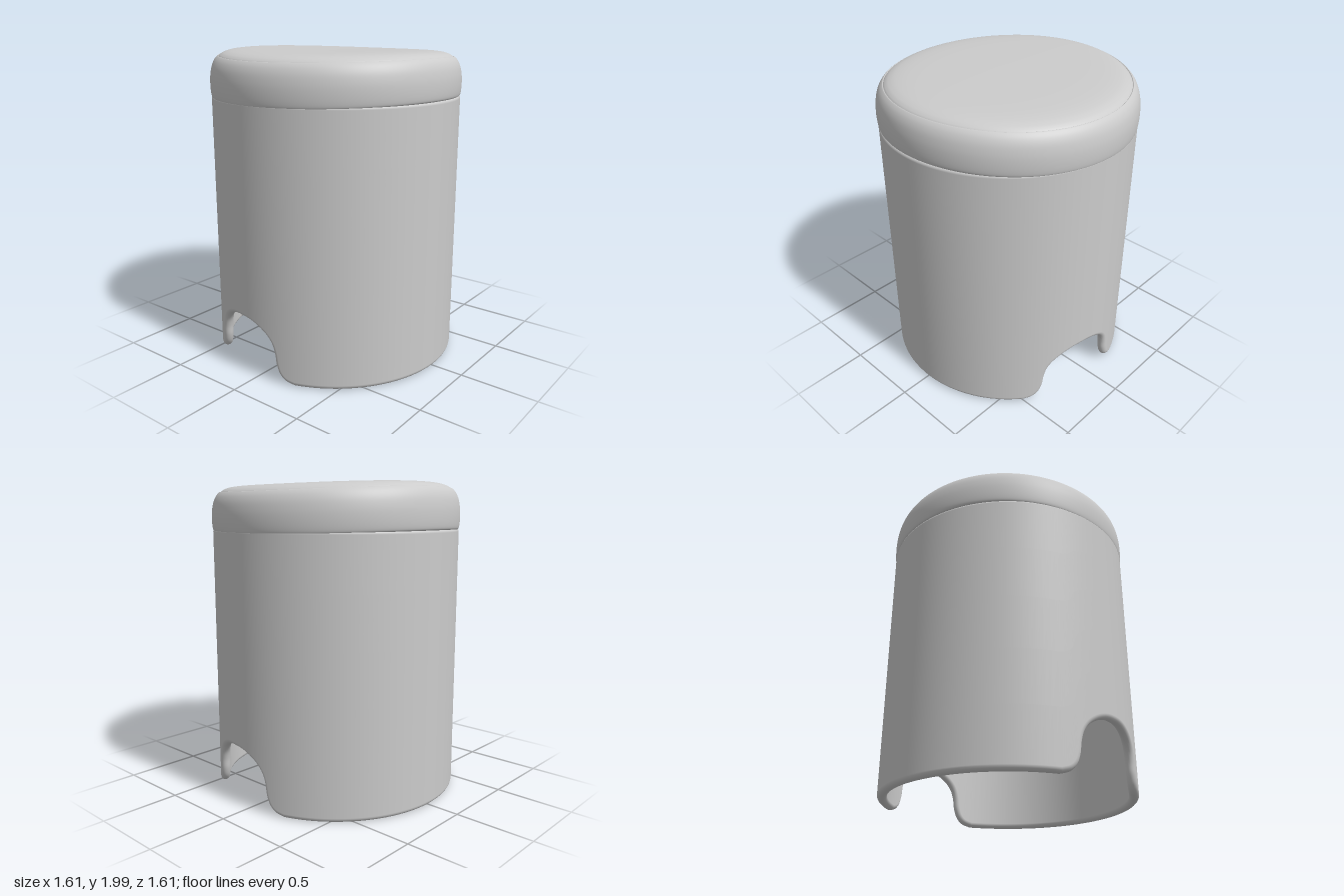
import * as THREE from 'three';
import { mergeVertices } from 'three/addons/utils/BufferGeometryUtils.js';

const material = new THREE.MeshStandardMaterial({ color: 0xcccccc, side: THREE.DoubleSide });
const OUTER = 0.8, WALL = 0.06, TOP = 1.7;
const ROUND = WALL / 2, MID = OUTER - ROUND;
const rad = THREE.MathUtils.degToRad;

// Lower edge of the shell as (angle, height): two arched openings, half a turn apart
function lowerEdge() {
  const half = [[0, 0.365], [5, 0.36], [10, 0.338], [14.5, 0.3], [17.5, 0.25], [19, 0.19],
    [19.8, 0.12], [21.5, 0.06], [24.5, 0.02], [29, 0]];
  const arch = [...half.slice(1).reverse().map(([a, y]) => [-a, y]), ...half];
  const curve = new THREE.SplineCurve(arch.map(([a, y]) => new THREE.Vector2(a / 60, y)));
  const edge = [];
  for (const turn of [0, 180]) {
    const centre = turn - 9.7;
    for (const p of curve.getPoints(108)) edge.push([rad(centre + p.x * 60), Math.max(0, p.y)]);
    for (let i = 1; i < 40; i++) edge.push([rad(centre + 29 + (122 * i) / 40), 0]);
  }
  return edge;
}

// Hollow wall: each column runs down the outside, round the rim and up the inside
function shellGeometry() {
  const edge = lowerEdge(), n = edge.length;
  const positions = [], normals = [], indices = [];
  let rows = 0;
  const put = (theta, r, y, nr, nu, ny) => {
    const s = Math.sin(theta), c = Math.cos(theta);
    positions.push(r * s, y, r * c);
    normals.push(nr * s + nu * c, ny, nr * c - nu * s);
    rows++;
  };
  for (let i = 0; i <= n; i++) {
    const [theta, y] = edge[i % n];
    const [t0, y0] = edge[(i + n - 1) % n], [t1, y1] = edge[(i + 1) % n];
    const du = OUTER * ((t1 - t0 + 4 * Math.PI) % (2 * Math.PI)), dy = y1 - y0;
    const len = Math.hypot(du, dy), nu = -dy / len, ny = du / len;
    const at = theta + (nu * ROUND) / OUTER, start = y + ny * ROUND;
    rows = 0;
    put(at, OUTER - 0.015, TOP + 0.005, 0.5, 0, 0.87);
    put(at, OUTER - 0.004, TOP, 0.8, 0, 0.6);
    for (let k = 0; k < 5; k++) put(at, OUTER, THREE.MathUtils.lerp(TOP - 0.012, start, k / 5), 1, 0, 0);
    for (let k = 0; k <= 10; k++) {
      const a = (Math.PI * k) / 10, s = Math.sin(a), c = Math.cos(a);
      const off = ROUND * (1 - s);
      put(theta + (nu * off) / OUTER, MID + ROUND * c, y + ny * off, c, -nu * s, -ny * s);
    }
    for (let k = 1; k <= 4; k++) put(at, OUTER - WALL, THREE.MathUtils.lerp(start, TOP, k / 4), -1, 0, 0);
  }
  for (let i = 0; i < n; i++) {
    for (let j = 0; j < rows - 1; j++) {
      const a = i * rows + j, b = a + rows;
      indices.push(a, a + 1, b, b, a + 1, b + 1);
    }
  }
  const geometry = new THREE.BufferGeometry();
  geometry.setAttribute('position', new THREE.Float32BufferAttribute(positions, 3));
  geometry.setAttribute('normal', new THREE.Float32BufferAttribute(normals, 3));
  geometry.setIndex(indices);
  return geometry;
}

// Lathe with a gentle saddle and tilt, for soft upholstery
function cushionGeometry(profile, divisions) {
  const curve = new THREE.SplineCurve(profile.map(([r, y]) => new THREE.Vector2(r, y)));
  const points = curve.getPoints(divisions);
  points.forEach((p) => { p.x = Math.max(0, p.x); });
  let geometry = new THREE.LatheGeometry(points, 128);
  geometry.deleteAttribute('uv');
  geometry.deleteAttribute('normal');
  geometry = mergeVertices(geometry, 1e-5);
  const pos = geometry.attributes.position;
  for (let i = 0; i < pos.count; i++) {
    const x = pos.getX(i), y = pos.getY(i), z = pos.getZ(i);
    const lift = Math.max(0, (y - 1.7) / 0.28);
    pos.setY(i, y + 0.012 * (x * x - z * z) / 0.64 + lift * (0.006 * z - 0.008 * x));
  }
  geometry.computeVertexNormals();
  return geometry;
}

export function createModel() {
  const group = new THREE.Group();
  const add = (name, geometry) => {
    const mesh = new THREE.Mesh(geometry, material);
    mesh.name = name;
    group.add(mesh);
  };

  add('baseShell', shellGeometry());

  // Padded side of the seat, closed underneath
  add('seatUnderside', cushionGeometry([[0, 1.692], [0.4, 1.692], [0.785, 1.692]], 8));
  add('seatBand', cushionGeometry([[0.785, 1.692], [0.798, 1.7], [0.804, 1.73], [0.806, 1.78],
    [0.803, 1.83], [0.793, 1.88], [0.776, 1.918], [0.755, 1.942], [0.748, 1.94]], 40));

  // Top panel, sewn in at a small groove
  add('seatTop', cushionGeometry([[0.748, 1.94], [0.738, 1.95], [0.715, 1.963], [0.67, 1.975],
    [0.58, 1.983], [0.4, 1.986], [0, 1.986]], 36));

  return group;
}
